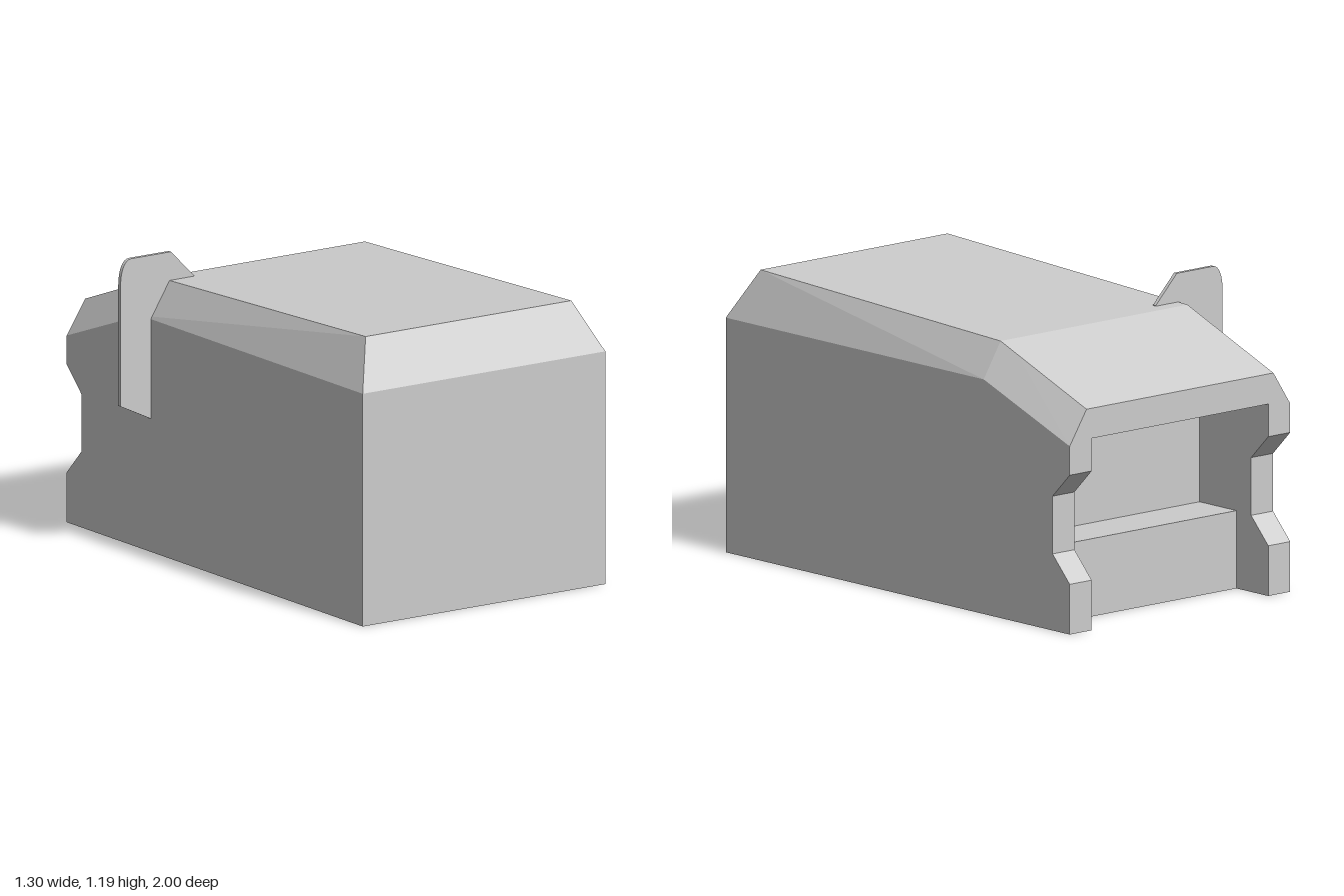
import * as THREE from 'three';
import { ConvexGeometry } from 'three/addons/geometries/ConvexGeometry.js';

const LEFT = 0.65, RIGHT = -0.505;      // outer faces in x
const WALL = 0.115, CHAMFER = 0.088;    // wall thickness, roof chamfer width
const RECESS = -0.6, CEILING = 0.765;   // rear recess: inner end and ceiling height
const ledgeZ = -0.815, ledgeY = 0.31;

// Heights of the sloping rear part
const roofY = (z) => 1.075 + (z + 0.5) * 0.38;
const shoulderY = (z) => 0.935 + (z + 0.5) * 0.37;

export function createModel() {
  const group = new THREE.Group();
  const material = new THREE.MeshStandardMaterial({ color: 0xcccccc, flatShading: true });

  const add = (name, geometry) => {
    const mesh = new THREE.Mesh(geometry, material);
    mesh.name = name;
    group.add(mesh);
    return mesh;
  };
  const hull = (name, points) =>
    add(name, new ConvexGeometry(points.map((p) => new THREE.Vector3(...p))));

  // Solid main body with chamfered roof: [z of roof, roof y, z of shoulder, shoulder y]
  const sections = [
    [0.895, 1.13, 1, 0.935],
    [-0.5, 1.075, -0.5, 0.935],
    [RECESS, roofY(RECESS), RECESS, shoulderY(RECESS)],
  ];
  const body = [];
  for (const [zr, yr, zs, ys] of sections) {
    body.push([LEFT - CHAMFER, yr, zr], [RIGHT + CHAMFER, yr, zr]);
    body.push([LEFT, ys, zs], [RIGHT, ys, zs]);
  }
  for (const z of [1, RECESS]) body.push([LEFT, 0, z], [RIGHT, 0, z]);
  hull('body', body);

  // Ceiling slab over the rear recess
  const innerL = LEFT - WALL, innerR = RIGHT + WALL;
  const slab = [];
  for (const z of [RECESS, -1])
    for (const x of [innerL, innerR]) slab.push([x, CEILING, z], [x, roofY(z), z]);
  hull('rearRoof', slab);

  // Notched side walls of the recess, each with a chamfered top
  const wallTop = 0.7;
  const profile = new THREE.Shape([
    [RECESS, 0], [-1, 0], [-1, 0.2], [-0.9, 0.305], [-0.9, 0.535],
    [-1, 0.635], [-1, wallTop], [RECESS, wallTop],
  ].map(([z, y]) => new THREE.Vector2(-z, y)));
  for (const [side, outer, s] of [['left', LEFT, -1], ['right', RIGHT, 1]]) {
    const wall = new THREE.ExtrudeGeometry(profile, { depth: WALL, bevelEnabled: false });
    wall.rotateY(Math.PI / 2); // profile x becomes -z, depth becomes +x
    wall.translate(s < 0 ? outer - WALL : outer, 0, 0);
    add(side + 'RearWall', wall);

    const inner = outer + s * WALL, edge = outer + s * CHAMFER;
    const top = [];
    for (const z of [RECESS, -1])
      top.push([inner, wallTop, z], [outer, wallTop, z], [outer, shoulderY(z), z],
        [edge, roofY(z), z], [inner, roofY(z), z]);
    hull(side + 'RearWallTop', top);
  }

  // Low ledge inside the recess
  const ledge = new THREE.BoxGeometry(innerL - innerR, ledgeY, RECESS - ledgeZ);
  add('ledge', ledge).position.set((innerL + innerR) / 2, ledgeY / 2, (RECESS + ledgeZ) / 2);

  // Thin side plate with one rounded corner, let into the body
  const plate = new THREE.Shape();
  plate.moveTo(-0.65, 0.605);
  plate.lineTo(-0.47, 0.518);
  plate.lineTo(-0.3, 1.0);
  plate.lineTo(-0.3, 1.08);
  plate.lineTo(-0.41, 1.192);
  plate.lineTo(-0.6, 1.192);
  plate.bezierCurveTo(-0.632, 1.192, -0.65, 1.145, -0.65, 1.09);
  plate.closePath();
  const plateGeometry = new THREE.ExtrudeGeometry(plate,
    { depth: 0.016, bevelEnabled: false, curveSegments: 8 });
  add('sidePlate', plateGeometry).position.z = -0.446;

  return group;
}
